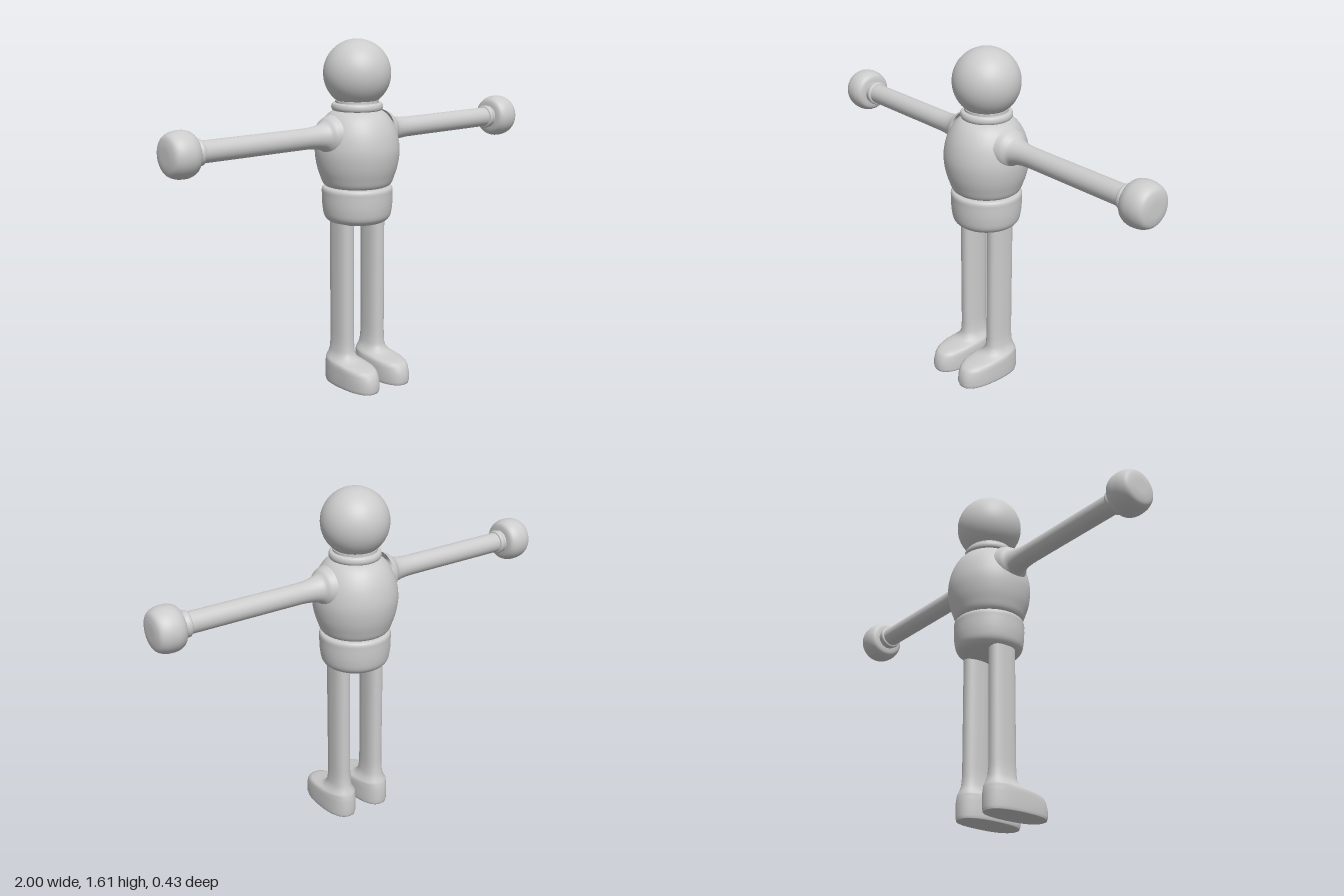
import * as THREE from 'three';

const AXIS_Z = -0.02; // body axis lies slightly behind the origin

function material() {
  return new THREE.MeshStandardMaterial({ color: 0xcccccc, side: THREE.DoubleSide });
}

// Smooth turned shape from [radius, height] points, listed bottom to top
function turned(name, points, samples = 48) {
  const curve = new THREE.CatmullRomCurve3(
    points.map(([r, y]) => new THREE.Vector3(r, y, 0)), false, 'centripetal');
  const profile = curve.getPoints(samples).map(p => new THREE.Vector2(Math.max(p.x, 0), p.y));
  const mesh = new THREE.Mesh(new THREE.LatheGeometry(profile, 64), material());
  mesh.name = name;
  return mesh;
}

// Skin over rounded sections [y, backZ, frontZ, halfWidth], listed bottom to top
function lofted(name, sections, n = 2.4, sides = 48) {
  const position = [], index = [];
  for (const [y, back, front, half] of sections) {
    for (let i = 0; i < sides; i++) {
      const a = (i / sides) * Math.PI * 2, c = Math.cos(a), s = Math.sin(a);
      const round = v => Math.sign(v) * Math.pow(Math.abs(v), 2 / n);
      position.push(half * round(s), y, (front + back) / 2 + ((front - back) / 2) * round(c));
    }
  }
  for (let j = 0; j < sections.length - 1; j++) {
    for (let i = 0; i < sides; i++) {
      const a = j * sides + i, b = j * sides + ((i + 1) % sides);
      index.push(a, b, b + sides, a, b + sides, a + sides);
    }
  }
  const geometry = new THREE.BufferGeometry();
  geometry.setAttribute('position', new THREE.Float32BufferAttribute(position, 3));
  geometry.setIndex(index);
  geometry.computeVertexNormals();
  const mesh = new THREE.Mesh(geometry, material());
  mesh.name = name;
  return mesh;
}

export function createModel() {
  const model = new THREE.Group();
  model.name = 'figure';

  // Head, neck and body
  const head = new THREE.Mesh(new THREE.SphereGeometry(0.154, 64, 40), material());
  head.name = 'head';
  head.position.y = 1.451;
  const neckRing = turned('neckRing', [
    [0, 1.284], [0.1, 1.284], [0.113, 1.287], [0.118, 1.3], [0.113, 1.316], [0.1, 1.32], [0, 1.32]]);
  const neck = new THREE.Mesh(new THREE.CylinderGeometry(0.1, 0.1, 0.08, 48), material());
  neck.name = 'neck';
  neck.position.y = 1.29;
  const torso = turned('torso', [
    [0, 0.936], [0.125, 0.936], [0.153, 0.944], [0.172, 0.985], [0.187, 1.035], [0.195, 1.1],
    [0.188, 1.16], [0.172, 1.21], [0.145, 1.255], [0.115, 1.28], [0.08, 1.287], [0, 1.287]]);
  const pelvis = turned('pelvis', [
    [0, 0.763], [0.09, 0.764], [0.13, 0.773], [0.151, 0.793], [0.161, 0.835],
    [0.164, 0.9], [0.163, 0.925], [0.155, 0.935], [0.12, 0.936], [0, 0.936]]);
  for (const part of [head, neckRing, neck, torso, pelvis]) {
    part.position.z = AXIS_Z;
    model.add(part);
  }

  for (const side of [1, -1]) {
    const label = side > 0 ? 'left' : 'right';

    // Arm: flared shoulder, straight sleeve, wrist cuff and round hand, built along +y
    const arm = new THREE.Group();
    arm.name = label + 'Arm';
    arm.add(
      turned('sleeve', [
        [0.095, 0.15], [0.082, 0.18], [0.064, 0.2], [0.054, 0.23], [0.048, 0.28],
        [0.047, 0.36], [0.047, 0.6], [0.047, 0.84]]),
      turned('cuff', [
        [0, 0.832], [0.045, 0.832], [0.055, 0.836], [0.057, 0.845], [0.053, 0.86], [0.055, 0.885]]),
      turned('hand', [
        [0, 0.868], [0.06, 0.868], [0.084, 0.876], [0.097, 0.9], [0.1, 0.93],
        [0.095, 0.963], [0.08, 0.988], [0.05, 0.998], [0, 1]]));
    arm.rotation.z = -side * Math.PI / 2;
    arm.position.set(0, 1.18, AXIS_Z);
    model.add(arm);

    // Leg flowing into the foot
    const leg = lofted(label + 'LegAndFoot', [
      [0.004, -0.112, 0.215, 0.073],
      [0.015, -0.115, 0.219, 0.076],
      [0.05, -0.115, 0.218, 0.076],
      [0.08, -0.114, 0.208, 0.076],
      [0.095, -0.112, 0.195, 0.075],
      [0.104, -0.11, 0.172, 0.073],
      [0.11, -0.109, 0.13, 0.07],
      [0.116, -0.107, 0.09, 0.066],
      [0.124, -0.104, 0.07, 0.06],
      [0.138, -0.098, 0.056, 0.051],
      [0.16, -0.091, 0.049, 0.044],
      [0.2, -0.087, 0.047, 0.041],
      [0.24, -0.087, 0.047, 0.04],
      [0.85, -0.087, 0.047, 0.04]]);
    const sole = lofted('sole', [
      [0, 0.05, 0.05, 0],
      [0, -0.112, 0.214, 0.072],
      [0.004, -0.112, 0.215, 0.073]]);
    leg.add(sole);
    leg.position.x = side * 0.093;
    model.add(leg);
  }
  return model;
}
